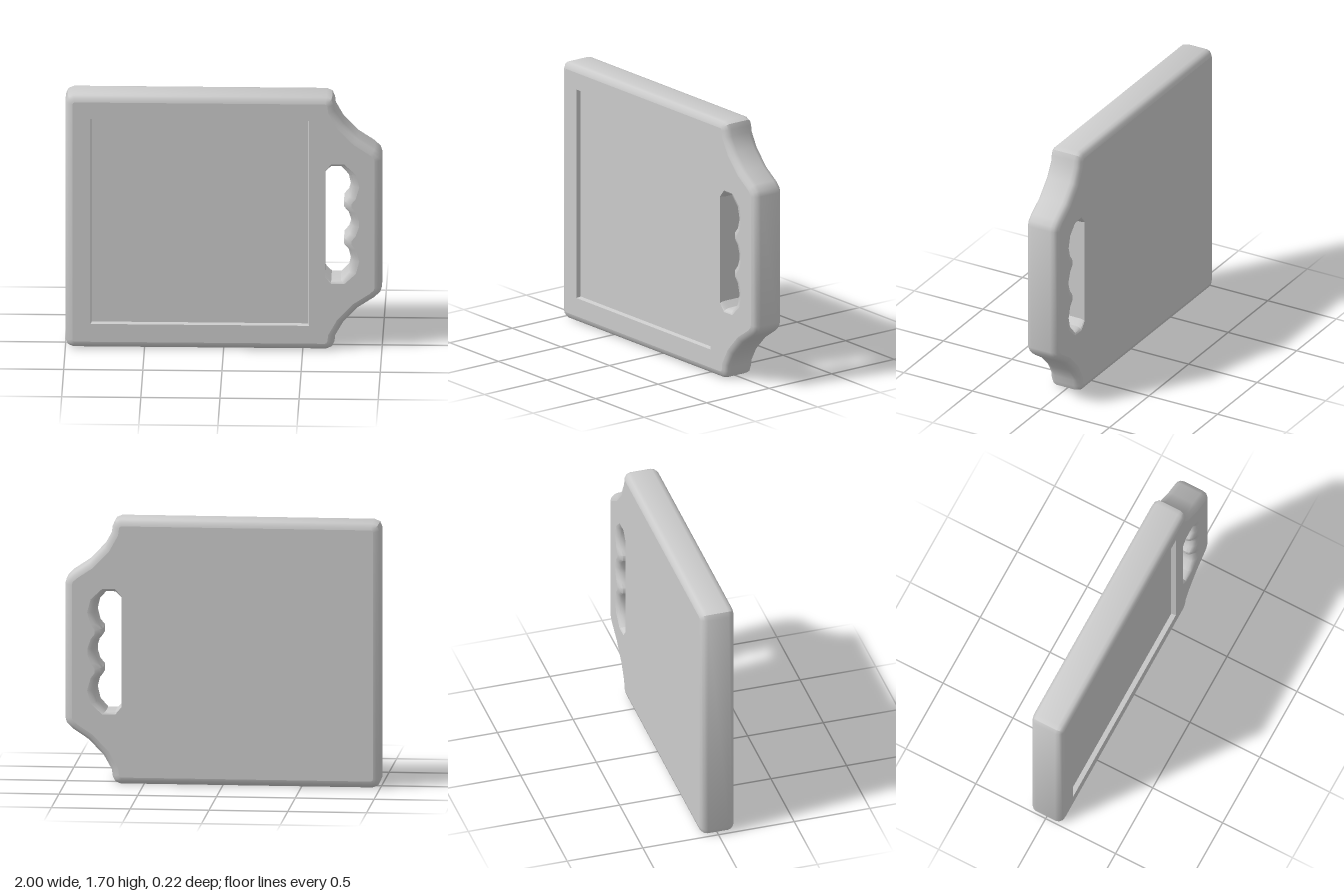
import * as THREE from 'three';
import { mergeVertices, toCreasedNormals } from 'three/addons/utils/BufferGeometryUtils.js';

const HALF = 0.112;   // half thickness
const MID = 0.85;     // height of the symmetry line
const BEVEL = 0.045;

// Moves each loop point into the material; scale(dx, dy) adjusts the mitred direction
function inset(loop, amount, scale = (x, y) => [x, y]) {
  const n = loop.length;
  const normal = (a, b) => new THREE.Vector2(a.y - b.y, b.x - a.x).normalize();
  return loop.map((p, i) => {
    const n1 = normal(loop[(i + n - 1) % n], p);
    const n2 = normal(p, loop[(i + 1) % n]);
    const m = n1.clone().add(n2).divideScalar(1 + n1.dot(n2));
    const [dx, dy] = scale(m.x, m.y);
    return new THREE.Vector2(p.x + dx * amount, p.y + dy * amount);
  });
}

// Skins a stack of loops from back to front
function skin(rings, crease = 0.7) {
  const pos = [], index = [], n = rings[0].loop.length;
  for (const { loop, z } of rings) for (const p of loop) pos.push(p.x, p.y, z);
  for (let k = 0; k < rings.length - 1; k++) {
    for (let i = 0; i < n; i++) {
      const j = (i + 1) % n;
      const a = k * n + i, b = k * n + j, c = b + n, d = a + n;
      index.push(a, b, c, a, c, d);
    }
  }
  const g = new THREE.BufferGeometry();
  g.setAttribute('position', new THREE.Float32BufferAttribute(pos, 3));
  g.setIndex(index);
  return toCreasedNormals(mergeVertices(g), crease);
}

// Rounded edge profile on both faces
function roundedRings(loop, scale) {
  const steps = [1, 2 / 3, 1 / 3, 0];
  const half = steps.map(t => {
    const a = t * Math.PI / 2;
    return {
      loop: inset(loop, BEVEL * (1 - Math.cos(a)), scale),
      z: HALF - BEVEL + BEVEL * Math.sin(a),
    };
  });
  return [...half.map(r => ({ loop: r.loop, z: -r.z })), ...half.slice().reverse()];
}

// Adds the mirror image of an upper half loop below the symmetry line
function mirrored(points) {
  const upper = points.map(([x, y]) => new THREE.Vector2(x, y));
  const lower = upper.slice().reverse().map(p => new THREE.Vector2(p.x, 2 * MID - p.y));
  return [...upper, ...lower];
}

export function createModel() {
  const group = new THREE.Group();
  group.name = 'tabletWithHandle';
  const material = new THREE.MeshStandardMaterial({ color: 0xcccccc });
  const add = (name, geometry) => {
    const mesh = new THREE.Mesh(geometry, material);
    mesh.name = name;
    group.add(mesh);
    return mesh;
  };

  // Outer outline, counter-clockwise
  const outline = mirrored([
    [1, 1.28], [0.99, 1.315], [0.955, 1.35], [0.85, 1.42], [0.755, 1.52],
    [0.705, 1.61], [0.70, 1.65], [0.685, 1.685], [0.65, 1.70],
    [-0.95, 1.70], [-0.985, 1.685], [-1, 1.65],
  ]);

  // Grip opening with finger scallops, clockwise
  const grip = mirrored([
    [0.64, 1.195], [0.68, 1.232], [0.74, 1.232], [0.79, 1.175], [0.807, 1.10],
    [0.79, 1.03], [0.76, 0.995], [0.76, 0.955], [0.79, 0.92], [0.807, 0.865],
  ]);
  const gripScale = (x, y) => [Math.max(x, 0) * 1.1, y * 0.45];

  // Screen opening, clockwise
  const screen = [[-0.84, 0.165], [-0.84, 1.545], [0.54, 1.545], [0.54, 0.165]]
    .map(([x, y]) => new THREE.Vector2(x, y));

  const bodyRings = roundedRings(outline);
  const gripRings = roundedRings(grip, gripScale);
  add('bodyRim', skin(bodyRings));
  add('gripOpening', skin(gripRings));

  // Flat faces
  const last = bodyRings.length - 1;
  const face = holes => {
    const shape = new THREE.Shape(bodyRings[last].loop);
    shape.holes = holes.map(h => new THREE.Path(h));
    return new THREE.ShapeGeometry(shape);
  };
  const gripEdge = gripRings[last].loop;
  add('frontFace', face([gripEdge, screen]).translate(0, 0, HALF));

  const back = face([gripEdge]).translate(0, 0, -HALF);
  back.setIndex(Array.from(back.index.array).reverse());
  back.computeVertexNormals();
  add('backFace', back);

  // Recessed screen
  const depth = 0.03;
  const floor = inset(screen, -0.006);
  add('screenEdge', skin([{ loop: floor, z: HALF - depth }, { loop: screen, z: HALF }], 0.3));
  add('screen', new THREE.ShapeGeometry(new THREE.Shape(floor)).translate(0, 0, HALF - depth));

  return group;
}
